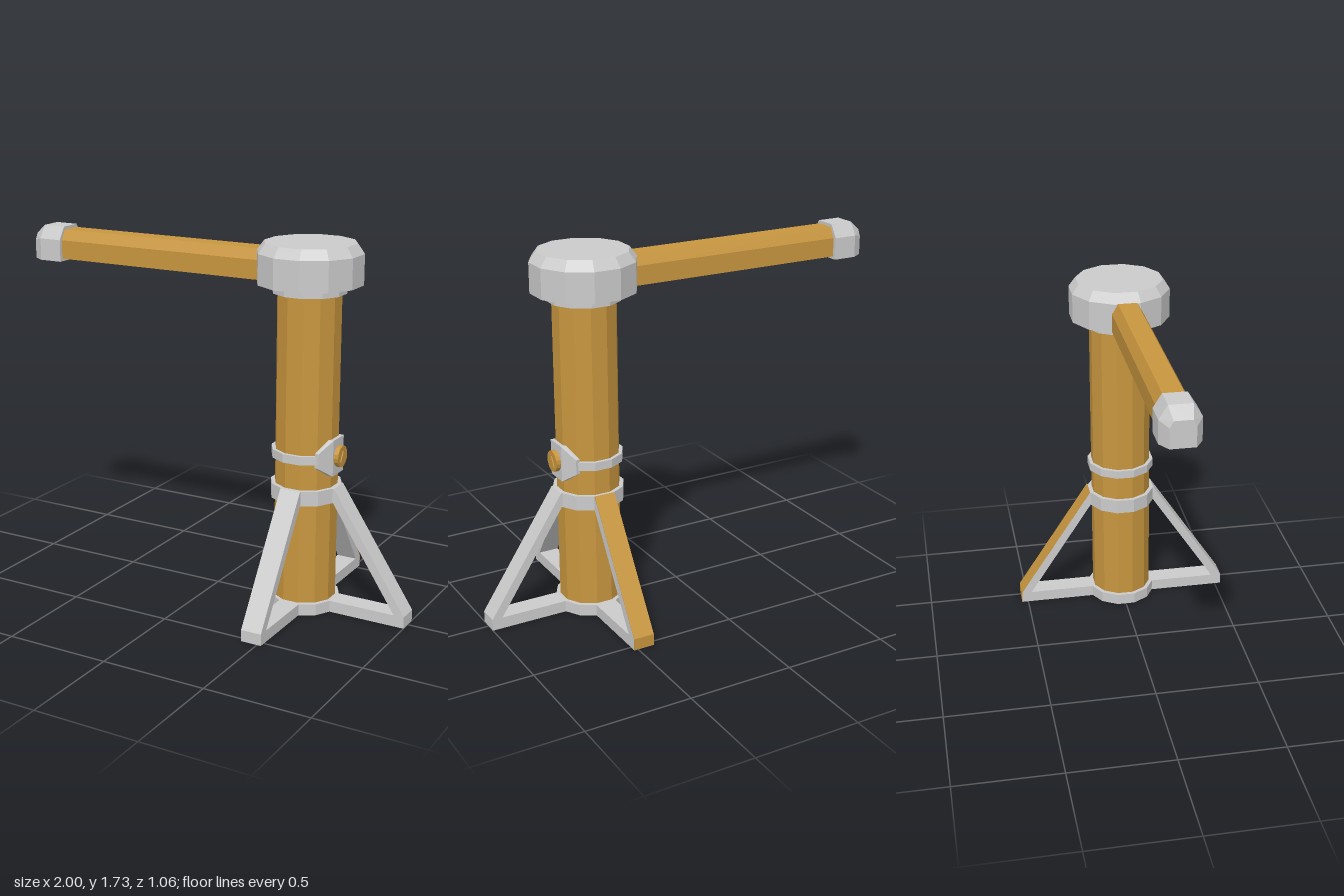
import * as THREE from 'three';
import { ConvexGeometry } from 'three/addons/geometries/ConvexGeometry.js';

const grey = new THREE.MeshStandardMaterial({ color: 0xcccccc, flatShading: true });
const wood = new THREE.MeshStandardMaterial({ color: 0xc8963f, flatShading: true });
const POST_X = 0.47;

function add(parent, name, geometry, material) {
  const mesh = new THREE.Mesh(geometry, material);
  mesh.name = name;
  parent.add(mesh);
  return mesh;
}

// Twelve-sided drum with flats facing the axes; radii are measured to the flats
function drum(parent, name, bottom, top, y0, y1, material) {
  const k = 1 / Math.cos(Math.PI / 12);
  const g = new THREE.CylinderGeometry(top * k, bottom * k, y1 - y0, 12, 1, false, Math.PI / 12);
  g.translate(0, (y0 + y1) / 2, 0);
  return add(parent, name, g, material);
}

function extrude(points, depth) {
  const shape = new THREE.Shape(points.map(([x, y]) => new THREE.Vector2(x, y)));
  return new THREE.ExtrudeGeometry(shape, { depth, bevelEnabled: false }).translate(0, 0, -depth / 2);
}

// Box section with chamfered upper edges, as [z, y]
function chamferedSection(half, topHalf, y0, shoulder, y1) {
  return [[-half, y0], [half, y0], [half, shoulder], [topHalf, y1], [-topHalf, y1], [-half, shoulder]];
}

function hull(points) {
  return new ConvexGeometry(points.map((p) => new THREE.Vector3(...p)));
}

export function createModel() {
  const model = new THREE.Group();
  model.name = 'postWithArm';
  const post = new THREE.Group();
  post.name = 'post';
  post.position.x = POST_X;
  model.add(post);

  // Post, bands and head
  drum(post, 'column', 0.143, 0.143, 0.01, 1.55, wood);
  drum(post, 'baseBand', 0.162, 0.162, 0, 0.055, grey);
  drum(post, 'braceBand', 0.162, 0.162, 0.54, 0.61, grey);
  drum(post, 'badgeBand', 0.16, 0.16, 0.735, 0.775, grey);
  drum(post, 'headCollar', 0.165, 0.165, 1.5, 1.54, grey);
  drum(post, 'head', 0.235, 0.235, 1.54, 1.68, grey);
  drum(post, 'headBevel', 0.235, 0.203, 1.68, 1.725, grey);

  // Three braced feet: left, front and back
  const brace = [[0.13, 0], [0.53, 0], [0.53, 0.055], [0.165, 0.61], [0.13, 0.61],
    [0.13, 0.545], [0.16, 0.545], [0.48, 0.055], [0.13, 0.055]];
  const feet = [['leftFoot', 0], ['frontFoot', -Math.PI / 2], ['backFoot', Math.PI / 2]];
  for (const [name, turn] of feet) {
    add(post, name, extrude(brace, 0.1), grey).rotation.y = turn;
  }

  // Wooden facing on the back foot
  const facing = [[0.53, 0], [0.532, 0], [0.532, 0.056], [0.165, 0.614], [0.163, 0.61], [0.53, 0.055]];
  add(post, 'backFootFacing', extrude(facing, 0.1), wood).rotation.y = Math.PI / 2;

  // Badge plate wrapped on the post, with a round boss and triangular stud
  const platePoints = [];
  for (const sy of [-1, 1]) {
    for (const sz of [-1, 1]) {
      platePoints.push([0.16, sy * 0.085, sz * 0.055], [0.135, sy * 0.085, sz * 0.055],
        [0.12, sy * 0.035, sz * 0.125], [0.1, sy * 0.035, sz * 0.12]);
    }
  }
  add(post, 'badgePlate', hull(platePoints), grey).position.y = 0.755;
  const boss = new THREE.CylinderGeometry(0.05, 0.05, 0.03, 16).rotateZ(-Math.PI / 2);
  add(post, 'badgeBoss', boss, wood).position.set(0.167, 0.755, 0);
  const stud = new THREE.CylinderGeometry(0.032, 0.032, 0.006, 3, 1, false, -Math.PI / 2).rotateZ(-Math.PI / 2);
  add(post, 'badgeStud', stud, wood).position.set(0.184, 0.75, 0);

  // Horizontal arm
  const arm = extrude(chamferedSection(0.073, 0.045, 1.543, 1.633, 1.682), 1.2);
  arm.rotateY(-Math.PI / 2).translate(-0.3, 0, 0);
  add(model, 'arm', arm, wood);

  // Tapered cap on the end of the arm
  const capBody = chamferedSection(0.09, 0.052, 1.53, 1.635, 1.696);
  const capTip = chamferedSection(0.055, 0.04, 1.53, 1.62, 1.65);
  const capPoints = [];
  for (const [x, section] of [[-0.83, capBody], [-0.945, capBody], [-1, capTip]]) {
    for (const [z, y] of section) capPoints.push([x, y, z]);
  }
  add(model, 'armCap', hull(capPoints), grey);

  return model;
}
